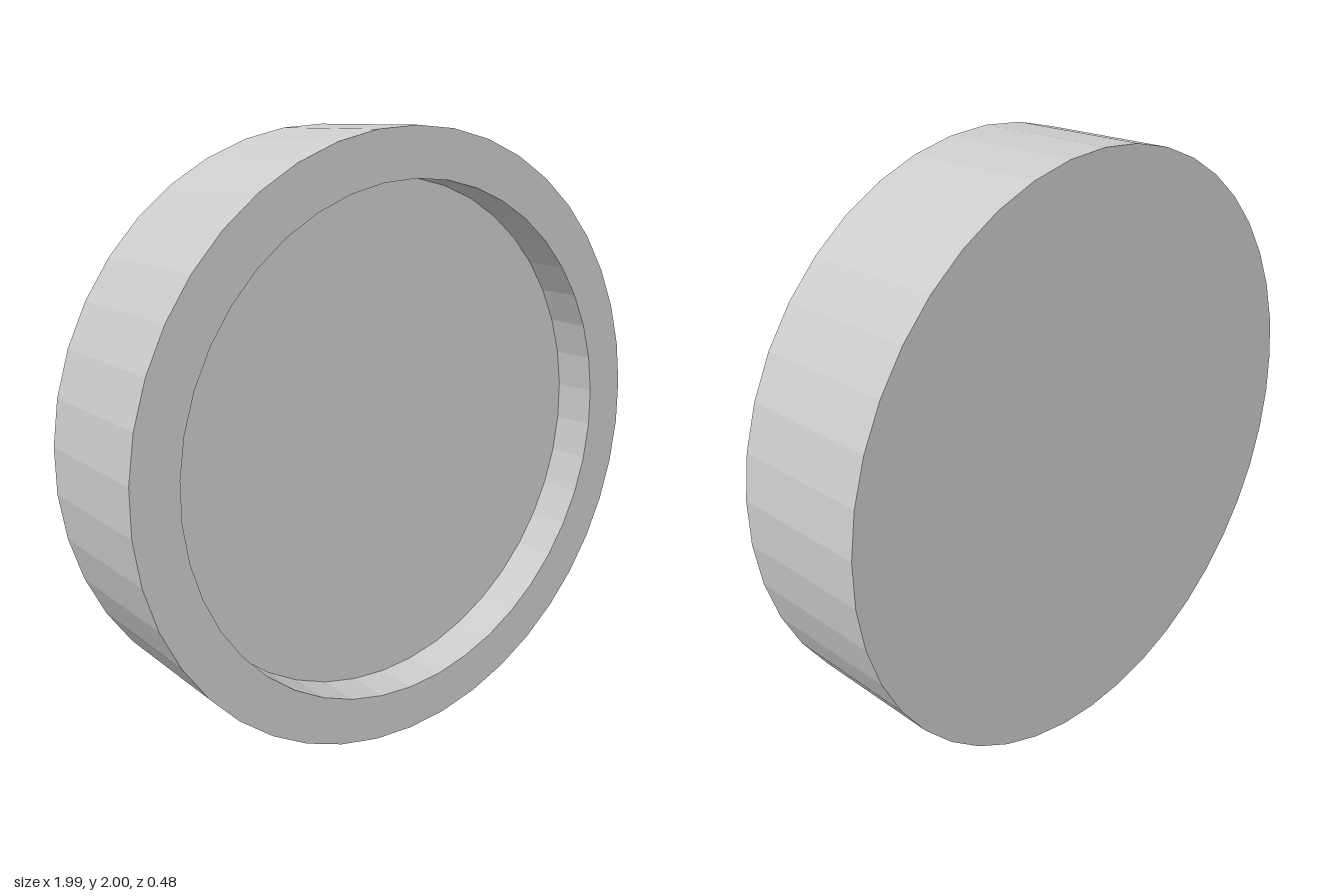
import * as THREE from 'three';

const SIDES = 42;
const OUTER = 1, INNER = 0.845;
const HALF_DEPTH = 0.242, RECESS = 0.15;

export function createModel() {
  const group = new THREE.Group();
  group.name = 'recessedDisc';
  const material = new THREE.MeshStandardMaterial({ color: 0xcccccc, flatShading: true });

  // Turns a closed-in profile of [radius, z] points around the z axis
  const turn = (name, profile) => {
    const points = profile.map(([r, z]) => new THREE.Vector2(r, z));
    const mesh = new THREE.Mesh(new THREE.LatheGeometry(points, SIDES).rotateX(Math.PI / 2), material);
    mesh.name = name;
    mesh.position.y = OUTER;
    group.add(mesh);
  };

  const floor = HALF_DEPTH - RECESS;
  // Flat back, outer wall, front rim and the wall of the recess
  turn('body', [
    [0, -HALF_DEPTH], [OUTER, -HALF_DEPTH], [OUTER, HALF_DEPTH],
    [INNER, HALF_DEPTH], [INNER, floor],
  ]);
  // Sunken front face
  turn('recessFloor', [[INNER, floor], [0, floor]]);

  return group;
}
